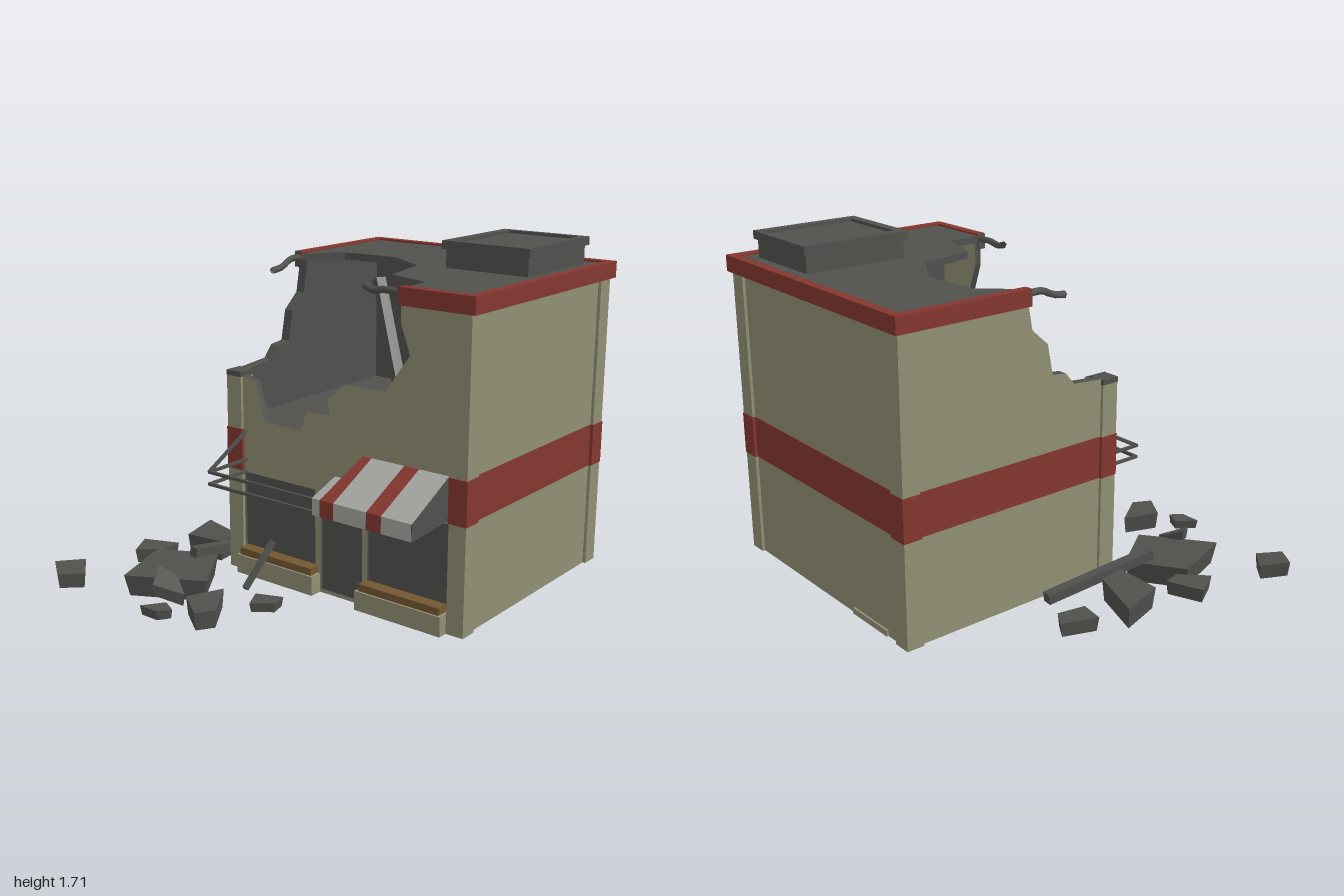
import * as THREE from 'three';
import { ConvexGeometry } from 'three/addons/geometries/ConvexGeometry.js';

const paint = (name, color) => Object.assign(new THREE.MeshStandardMaterial({ color }), { name });

export function createModel() {
  const model = new THREE.Group();
  model.name = 'ruinedShop';
  const plaster = paint('plaster', 0x919075);
  const red = paint('red', 0x84372f);
  const grey = paint('darkGrey', 0x50504d);
  const pale = paint('paleCanvas', 0xa6a6a2);
  const wood = paint('wood', 0x745731);
  grey.side = pale.side = red.side = THREE.DoubleSide;

  const add = (name, geo, mat) => {
    const m = new THREE.Mesh(geo, mat);
    m.name = name;
    model.add(m);
    return m;
  };
  // Box given by its limits on each axis
  const box = (name, mat, x0, x1, y0, y1, z0, z1) => {
    const g = new THREE.BoxGeometry(x1 - x0, y1 - y0, z1 - z0);
    g.translate((x0 + x1) / 2, (y0 + y1) / 2, (z0 + z1) / 2);
    return add(name, g, mat);
  };
  const shapeOf = (pts) => new THREE.Shape(pts.map((p) => new THREE.Vector2(...p)));
  const slab = (shape, depth) => new THREE.ExtrudeGeometry(shape, { depth, bevelEnabled: false });
  // Rectangular bar between two points
  const bar = (name, a, b, w, h = w) => {
    const p = new THREE.Vector3(...a), q = new THREE.Vector3(...b);
    const m = add(name, new THREE.BoxGeometry(w, h, p.distanceTo(q)), grey);
    m.position.copy(p).add(q).multiplyScalar(0.5);
    m.lookAt(q);
  };

  // Front wall with a broken upper edge, two windows and a door
  const lip = [[0.61, 1.44], [0.66, 1.3], [0.53, 1.12], [0.31, 1.12], [0.2, 1.03], [0.22, 0.96],
    [0.08, 0.95], [0.04, 0.85], [-0.18, 0.86], [-0.24, 1.05], [-0.39, 1.08]];
  const front = shapeOf([[-0.39, 0.07], [0.96, 0.07], [0.96, 1.56], [0.61, 1.56], ...lip]);
  const openings = [[-0.315, 0.13, 0.17, 0.58], [0.44, 0.885, 0.17, 0.58], [0.165, 0.41, 0.085, 0.515]];
  for (const [x0, x1, y0, y1] of openings) {
    front.holes.push(shapeOf([[x0, y0], [x0, y1], [x1, y1], [x1, y0]]));
    box('pane', grey, x0, x1, y0, y1, 0.212, 0.235);
  }
  add('frontWall', slab(front, 0.035).translate(0, 0, 0.21), [plaster, grey]);

  // Left-out corner: side wall broken towards the front, with its dark inner lining
  const tear = [[0.24, 1.08], [0, 1.1], [-0.05, 1.16], [-0.13, 1.17], [-0.16, 1.32], [-0.25, 1.4], [-0.28, 1.56], [-0.95, 1.56]];
  const sideways = (pts, depth, x) => slab(shapeOf(pts), depth).rotateY(-Math.PI / 2).translate(x, 0, 0);
  add('brokenSideWall', sideways([[-0.95, 0.07], [0.24, 0.07], ...tear], 0.04, -0.355), [plaster, grey]);
  add('brokenSideLining', sideways([[-0.95, 0.84], [0.21, 0.84], [0.21, 1.08], ...tear.slice(1)], 0.008, -0.347), grey);

  // Whole walls and upper room lining
  box('sideWall', plaster, 0.925, 0.965, 0.07, 1.53, -0.95, 0.24);
  box('backWall', plaster, -0.39, 0.96, 0.07, 1.53, -0.955, -0.915);
  box('backStep', plaster, -0.24, 0.04, 0.07, 0.1, -0.965, -0.95);
  box('backLining', grey, -0.35, 0.925, 0.84, 1.56, -0.878, -0.87);
  box('sideLining', grey, 0.88, 0.888, 0.84, 1.56, -0.87, 0.21);
  box('upperFloor', grey, -0.35, 0.888, 0.835, 0.85, -0.87, 0.21);

  // Corner pillars, each with a red band; one is snapped off
  for (const [x, z] of [[-0.41, -0.97], [0.89, -0.97], [0.89, 0.17], [-0.41, 0.17]]) {
    const broken = x < 0 && z > 0;
    box('cornerPillar', plaster, x, x + 0.09, 0.07, broken ? 1.06 : 1.53, z, z + 0.09);
    box('pillarBand', red, x - 0.003, x + 0.093, 0.59, 0.8, z - 0.003, z + 0.093);
    if (broken) box('brokenPillarTop', grey, x - 0.002, x + 0.092, 1.06, 1.085, z - 0.002, z + 0.092);
  }
  box('sideBand', red, 0.922, 0.968, 0.59, 0.8, -0.9, 0.2);
  box('brokenSideBand', red, -0.398, -0.352, 0.59, 0.8, -0.9, 0.2);
  box('backBand', red, -0.36, 0.92, 0.59, 0.8, -0.958, -0.912);

  // Roof with a blown-out corner
  const roof = shapeOf([[-0.39, -0.95], [0.96, -0.95], [0.96, 0.23], [0.61, 0.25], [0.6, 0.05], [0.36, -0.03],
    [0.29, -0.33], [0.05, -0.48], [-0.24, -0.45], [-0.38, -0.29]]);
  add('roof', slab(roof, 0.035).rotateX(Math.PI / 2).translate(0, 1.59, 0), grey);

  // Red parapet with dark broken ends
  box('backParapet', red, -0.43, 1, 1.52, 1.6, -0.99, -0.945);
  box('sideParapet', red, 0.955, 1, 1.52, 1.6, -0.945, 0.27);
  box('frontParapet', red, 0.61, 0.955, 1.52, 1.6, 0.225, 0.27);
  box('brokenParapet', red, -0.43, -0.385, 1.52, 1.6, -0.945, -0.285);
  box('parapetEnd', grey, -0.429, -0.386, 1.521, 1.599, -0.285, -0.279);
  box('parapetEnd', grey, 0.604, 0.61, 1.521, 1.599, 0.226, 0.269);

  // Bent reinforcing bars
  const bent = (pts) => add('bentBar', new THREE.TubeGeometry(
    new THREE.CatmullRomCurve3(pts.map((p) => new THREE.Vector3(...p))), 8, 0.017, 5), grey);
  bent([[-0.4, 1.57, -0.3], [-0.395, 1.57, -0.2], [-0.39, 1.54, -0.13], [-0.39, 1.53, -0.06]]);
  bent([[0.62, 1.57, 0.24], [0.52, 1.575, 0.24], [0.45, 1.565, 0.235], [0.4, 1.58, 0.23]]);

  // Rooftop unit with a recessed lid
  box('roofUnit', grey, 0.445, 0.885, 1.58, 1.69, -0.875, -0.345);
  const rim = shapeOf([[0.43, -0.89], [0.9, -0.89], [0.9, -0.33], [0.43, -0.33]]);
  rim.holes.push(shapeOf([[0.475, -0.86], [0.475, -0.375], [0.855, -0.375], [0.855, -0.86]]));
  add('roofUnitRim', slab(rim, 0.04).rotateX(Math.PI / 2).translate(0, 1.72, 0), grey);
  box('roofUnitLid', grey, 0.47, 0.86, 1.68, 1.705, -0.865, -0.37);

  // Low ledges with wooden sills
  for (const [x0, x1] of [[-0.32, 0.16], [0.415, 0.89]]) {
    box('ledge', plaster, x0, x1, 0.07, 0.165, 0.23, 0.31);
    box('woodenSill', wood, x0 + 0.015, x1 - 0.015, 0.165, 0.2, 0.235, 0.3);
  }

  // Striped awning: a sloped sheet with a hanging edge; the end is torn.
  // Each strip: left, right, colour, torn top as left, right, y, z
  const strips = [
    [0.34, 0.385, pale, [0.36, 0.397, 0.73, 0.385]],
    [0.385, 0.46, red, [0.41, 0.46, 0.8, 0.245]],
    [0.46, 0.64, pale], [0.64, 0.72, red], [0.72, 0.88, pale]];
  for (const [x0, x1, mat, torn] of strips) {
    const rows = [torn || [x0, x1, 0.8, 0.245], [x0, x1, 0.66, 0.525], [x0, x1, 0.58, 0.525]];
    const pos = [];
    for (let r = 0; r < 2; r++) {
      const [a, b, y, z] = rows[r], [c, d, v, w] = rows[r + 1];
      pos.push(c, v, w, d, v, w, b, y, z, c, v, w, b, y, z, a, y, z);
    }
    const g = new THREE.BufferGeometry();
    g.setAttribute('position', new THREE.Float32BufferAttribute(pos, 3));
    g.computeVertexNormals();
    add('awningStrip', g, mat);
  }
  add('awningCheek', sideways([[0.245, 0.8], [0.245, 0.6], [0.525, 0.58], [0.525, 0.66]], 0.006, 0.882), grey);
  add('awningTornLining', new THREE.ShapeGeometry(shapeOf([[0.29, 0.24], [0.39, 0.24], [0.39, 0.51], [0.34, 0.51], [0.33, 0.37]]))
    .rotateX(Math.PI / 2).translate(0, 0.6, 0), grey);

  // Bare awning frame
  for (const y of [0.585, 0.645]) {
    bar('frameRail', [-0.305, y, 0.505], [0.36, y, 0.505], 0.014);
    bar('frameArm', [-0.305, y, 0.24], [-0.305, y, 0.51], 0.014);
  }
  bar('frameBrace', [-0.305, 0.79, 0.24], [-0.305, 0.645, 0.51], 0.014);

  // Fallen beams
  bar('leaningBeam', [-0.31, 1.4, -0.84], [-0.08, 0.87, -0.72], 0.055);
  bar('floorBeam', [0.1, 0.88, -0.01], [0.36, 0.95, -0.045], 0.05);
  bar('fallenBeam', [-0.435, 0.08, -0.19], [-0.515, 0.16, 0.42], 0.052, 0.05);
  bar('leaningPost', [-0.13, 0.26, 0.255], [-0.13, 0.08, 0.46], 0.025);

  // Rubble: bottom height, top height, tilt along x, then the outline as x, z
  const rubble = [
    [0.06, 0.13, -0.05, [-0.73, -0.36], [-0.64, -0.3], [-0.67, -0.16], [-0.8, -0.19]],
    [0.03, 0.14, 0.05, [-0.83, -0.03], [-0.55, 0.06], [-0.53, 0.2], [-0.76, 0.21]],
    [0.055, 0.125, 0, [-0.73, 0.31], [-0.71, 0.4], [-0.83, 0.52], [-0.91, 0.38]],
    [0.02, 0.13, -0.04, [-0.46, 0.3], [-0.27, 0.58], [-0.61, 0.8], [-0.73, 0.46]],
    [0.08, 0.14, -0.5, [-0.4, 0.65], [-0.29, 0.71], [-0.4, 0.81], [-0.48, 0.69]],
    [0.065, 0.11, -0.05, [0, 0.53], [0.12, 0.47], [0.14, 0.55], [0.05, 0.63]],
    [0.05, 0.14, -0.05, [-0.11, 0.63], [0.02, 0.82], [-0.03, 0.91], [-0.18, 0.81]],
    [0.065, 0.11, 0, [-0.26, 0.86], [-0.18, 0.9], [-0.22, 0.96], [-0.33, 0.96]],
    [0.055, 0.13, -0.1, [-0.92, 0.77], [-0.8, 0.88], [-0.88, 0.985], [-1, 0.9]],
    [0.85, 0.93, 0, [-0.05, -0.38], [0.05, -0.46], [0.22, -0.41], [0.05, -0.26]],
    [0.85, 0.93, 0, [0.25, -0.22], [0.32, -0.29], [0.33, -0.16]],
  ];
  for (const [y0, y1, tilt, ...pts] of rubble) {
    const cx = pts.reduce((s, p) => s + p[0], 0) / pts.length;
    const cz = pts.reduce((s, p) => s + p[1], 0) / pts.length;
    const ring = (k, y) => pts.map(([x, z]) =>
      new THREE.Vector3(cx + (x - cx) * k, y + tilt * (x - cx), cz + (z - cz) * k));
    add('rubble', new ConvexGeometry([...ring(1, y1), ...ring(0.9, y0)]), grey);
  }
  return model;
}
